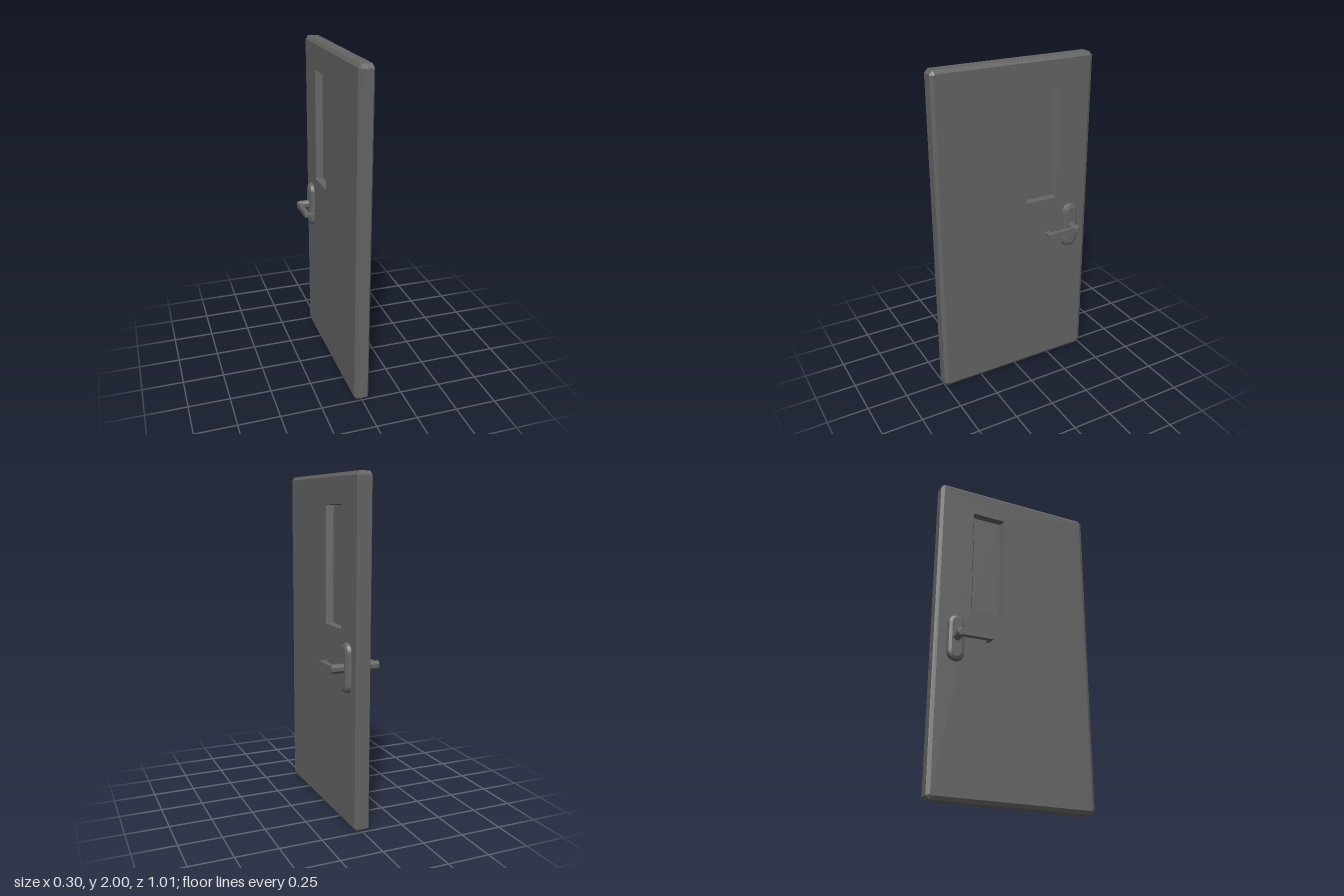
import * as THREE from 'three';

const material = new THREE.MeshStandardMaterial({ color: 0x646464, flatShading: true });

function addMesh(parent, name, geometry) {
  const mesh = new THREE.Mesh(geometry, material);
  mesh.name = name;
  parent.add(mesh);
  return mesh;
}

// Rectangle with cut corners in the plane x, as eight points
function ring(x, z0, z1, y0, y1, cut) {
  return [
    [x, y0, z0 + cut], [x, y0, z1 - cut], [x, y0 + cut, z1], [x, y1 - cut, z1],
    [x, y1, z1 - cut], [x, y1, z0 + cut], [x, y1 - cut, z0], [x, y0 + cut, z0],
  ];
}

// Joins a closed sequence of rings into a frame with an opening
function loftRings(rings) {
  const positions = [];
  for (let i = 0; i < rings.length; i++) {
    const a = rings[i], b = rings[(i + 1) % rings.length];
    for (let j = 0; j < a.length; j++) {
      const k = (j + 1) % a.length;
      for (const p of [a[j], b[j], b[k], a[j], b[k], a[k]]) positions.push(...p);
    }
  }
  const geometry = new THREE.BufferGeometry();
  geometry.setAttribute('position', new THREE.Float32BufferAttribute(positions, 3));
  geometry.computeVertexNormals();
  return geometry;
}

function doorSlab() {
  return loftRings([
    ring(0, -0.265, -0.09, 1.145, 1.825, 0.0005), // narrowest part of the opening
    ring(-0.045, -0.285, -0.07, 1.14, 1.83, 0.0005),
    ring(-0.045, -0.485, 0.485, 0.02, 1.98, 0.006), // flat face
    ring(-0.032, -0.506, 0.506, 0, 2, 0.022), // chamfered edge
    ring(0.032, -0.506, 0.506, 0, 2, 0.022),
    ring(0.045, -0.485, 0.485, 0.02, 1.98, 0.006),
    ring(0.045, -0.285, -0.07, 1.14, 1.83, 0.0005),
  ]);
}

// Stadium-shaped plate with a rounded rim, widest at the door face
function backPlate() {
  const r = 0.03, h = 0.091;
  const shape = new THREE.Shape();
  shape.absarc(0, h, r, 0, Math.PI);
  shape.absarc(0, -h, r, Math.PI, 2 * Math.PI);
  shape.closePath();
  const geometry = new THREE.ExtrudeGeometry(shape, {
    depth: 0.01, bevelThickness: 0.026, bevelSize: 0.024, bevelSegments: 2, curveSegments: 6,
  });
  return geometry.rotateY(Math.PI / 2).translate(0.037, 0, 0);
}

// Bar with a returned tip, thinner towards the tip and chamfered at its end
function leverBar() {
  const outline = [
    [0.118, 0.01], [0.147, 0.01], [0.147, 0.188], [0.147, 0.198],
    [0.09, 0.198], [0.09, 0.188], [0.09, 0.17], [0.118, 0.17],
  ];
  const shape = new THREE.Shape(outline.map(([x, z]) => new THREE.Vector2(x, -z)));
  const geometry = new THREE.ExtrudeGeometry(shape, { depth: 0.036, bevelEnabled: false });
  geometry.translate(0, 0, -0.018).rotateX(-Math.PI / 2);
  const p = geometry.attributes.position;
  for (let i = 0; i < p.count; i++) {
    const z = p.getZ(i);
    const scale = z > 0.19 ? 0.45 : THREE.MathUtils.mapLinear(z, 0.01, 0.188, 1, 0.7);
    p.setY(i, p.getY(i) * scale);
  }
  geometry.computeVertexNormals();
  return geometry;
}

// Eight-sided stem with a chamfered end
function leverStem() {
  const profile = [[0, 0.05], [0.0225, 0.05], [0.0225, 0.143], [0.017, 0.148], [0, 0.148]];
  const points = profile.map(([r, y]) => new THREE.Vector2(r, y));
  return new THREE.LatheGeometry(points, 8, Math.PI / 8).rotateZ(-Math.PI / 2).scale(1, 1.25, 1);
}

export function createModel() {
  const door = new THREE.Group();
  door.name = 'door';

  addMesh(door, 'doorSlab', doorSlab());
  const pane = addMesh(door, 'windowPane', new THREE.BoxGeometry(0.008, 0.7, 0.195));
  pane.position.set(0, 1.485, -0.1775);

  // The handle is symmetric in y, so a half turn gives the opposite side
  for (const [name, turn] of [['leftHandle', 0], ['rightHandle', Math.PI]]) {
    const handle = new THREE.Group();
    handle.name = name;
    handle.position.set(0, 0.936, -0.378);
    handle.rotation.z = turn;
    addMesh(handle, 'backPlate', backPlate());
    addMesh(handle, 'leverStem', leverStem());
    addMesh(handle, 'leverBar', leverBar());
    door.add(handle);
  }
  return door;
}
